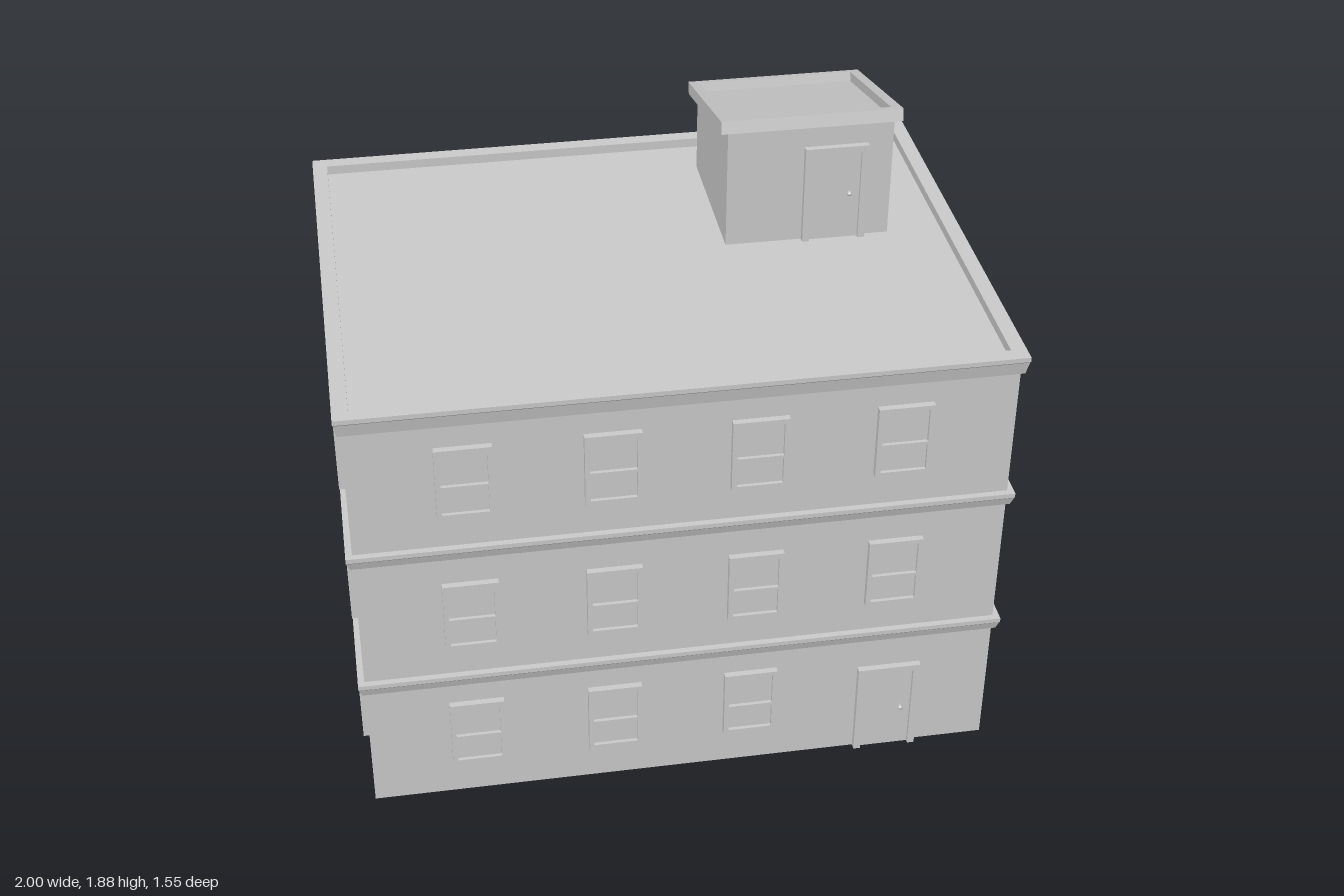
import * as THREE from 'three';

const mat = new THREE.MeshStandardMaterial({ color: 0xcccccc, flatShading: true, side: THREE.DoubleSide });
const HX = 0.98, HZ = 0.735; // half extents of the walls

function mesh(name, geometry, parent, x = 0, y = 0, z = 0) {
  const m = new THREE.Mesh(geometry, mat);
  m.name = name;
  m.position.set(x, y, z);
  parent.add(m);
  return m;
}

function group(name, parent) {
  const g = new THREE.Group();
  g.name = name;
  parent.add(g);
  return g;
}

// Closed rectangle outline, used for plates and their holes
function rect(x0, y0, x1, y1, Type = THREE.Shape) {
  return new Type([[x0, y0], [x1, y0], [x1, y1], [x0, y1]].map(p => new THREE.Vector2(...p)));
}

function plate(outline, holes, depth) {
  outline.holes.push(...holes);
  return new THREE.ExtrudeGeometry(outline, { depth, bevelEnabled: false });
}

// Sweep a profile of [outward offset, height] around the rectangular plan
function shellGeometry(profile) {
  const corners = [[1, 1], [1, -1], [-1, -1], [-1, 1]];
  const pos = [];
  const point = ([o, y], [sx, sz]) => [sx * (HX + o), y, sz * (HZ + o)];
  for (let i = 0; i < profile.length - 1; i++) {
    for (let k = 0; k < 4; k++) {
      const c = corners[k], d = corners[(k + 1) % 4];
      const a0 = point(profile[i], c), b0 = point(profile[i], d);
      const a1 = point(profile[i + 1], c), b1 = point(profile[i + 1], d);
      pos.push(...a0, ...b0, ...b1, ...a0, ...b1, ...a1);
    }
  }
  const g = new THREE.BufferGeometry();
  g.setAttribute('position', new THREE.Float32BufferAttribute(pos, 3));
  g.computeVertexNormals();
  return g;
}

// Two-sash window, back at z = 0, sill at y = 0
function addWindow(parent, width, x, y, z, turn) {
  const g = group('window', parent);
  const w = width / 2, h = 0.241, rim = 0.015;
  const holes = [
    rect(-w + rim, rim, w - rim, 0.104, THREE.Path),
    rect(-w + rim, 0.114, w - rim, h - rim, THREE.Path),
  ];
  mesh('windowFrame', plate(rect(-w, 0, w, h), holes, 0.02), g);
  mesh('windowGlass', new THREE.BoxGeometry(width - rim, h - rim, 0.008), g, 0, h / 2, 0.005);
  g.position.set(x, y, z);
  g.rotation.y = turn;
}

// Door with a three-sided frame and a round knob
function addDoor(parent, name, x, y, z, height) {
  const g = group(name, parent);
  const frame = new THREE.Shape([
    [-0.1, 0], [-0.078, 0], [-0.078, height - 0.022], [0.078, height - 0.022],
    [0.078, 0], [0.1, 0], [0.1, height], [-0.1, height],
  ].map(p => new THREE.Vector2(...p)));
  mesh('doorFrame', plate(frame, [], 0.02), g);
  mesh('doorPanel', new THREE.BoxGeometry(0.156, height - 0.022, 0.008), g, 0, (height - 0.022) / 2, 0.004);
  const stem = mesh('knobStem', new THREE.CylinderGeometry(0.004, 0.004, 0.012, 10), g, 0.045, 0.16, 0.013);
  stem.rotation.x = Math.PI / 2;
  mesh('doorKnob', new THREE.SphereGeometry(0.008, 12, 8), g, 0.045, 0.16, 0.02);
  g.position.set(x, y, z);
}

export function createModel() {
  const model = new THREE.Group();
  model.name = 'building';

  // Open-bottomed walls with a flared ledge above each storey and a parapet
  const profile = [[0, 0]];
  for (const [low, top] of [[0.445, 0.49], [0.935, 0.98], [1.41, 1.47]]) {
    profile.push([0, low], [0.01, low], [0.018, top - 0.018], [0.02, top - 0.015], [0.02, top]);
    if (top < 1.4) profile.push([0, top]);
  }
  profile.push([-0.027, 1.47], [-0.027, 1.44]);
  mesh('wallsAndLedges', shellGeometry(profile), model);
  const roof = new THREE.PlaneGeometry(2 * (HX - 0.027), 2 * (HZ - 0.027));
  mesh('flatRoof', roof.rotateX(-Math.PI / 2), model, 0, 1.44, 0);

  // Windows: four per wall on each storey, the door replacing one in front
  const windows = group('windows', model);
  [0.128, 0.615, 1.107].forEach((y, storey) => {
    const z = storey === 0 ? HZ : HZ + 0.02;
    for (let i = 0; i < 4; i++) {
      const x = -0.646 + 0.428 * i, sideZ = -0.512 + 0.342 * i;
      if (storey > 0 || i < 3) addWindow(windows, 0.167, x, y, z, 0);
      addWindow(windows, 0.167, x, y, -z, Math.PI);
      for (const s of [-1, 1]) addWindow(windows, 0.137, s * HX, y, sideZ, s * Math.PI / 2);
    }
  });
  addDoor(model, 'entranceDoor', 0.655, 0, HZ, 0.332);

  // Rooftop stair house with sloping wall tops
  const house = group('stairHouse', model);
  const side = new THREE.Shape([[-0.055, 1.44], [-0.055, 1.837], [-0.568, 1.708], [-0.568, 1.44]]
    .map(p => new THREE.Vector2(...p)));
  mesh('stairHouseWalls', plate(side, [], 0.52).rotateY(-Math.PI / 2), house, 0.78, 0, 0);
  addDoor(house, 'stairHouseDoor', 0.601, 1.44, -0.055, 0.325);

  // Tilted roof: raised rim around a sunken panel
  const lid = group('stairHouseRoof', house);
  lid.position.set(0.519, 1.788, -0.32);
  lid.rotation.x = -0.25;
  const rim = plate(rect(-0.283, -0.29, 0.283, 0.29), [rect(-0.251, -0.26, 0.251, 0.26, THREE.Path)], 0.04);
  mesh('roofRim', rim.rotateX(-Math.PI / 2), lid, 0, -0.02, 0);
  mesh('roofPanel', new THREE.BoxGeometry(0.502, 0.01, 0.52), lid, 0, -0.015, 0);

  return model;
}
